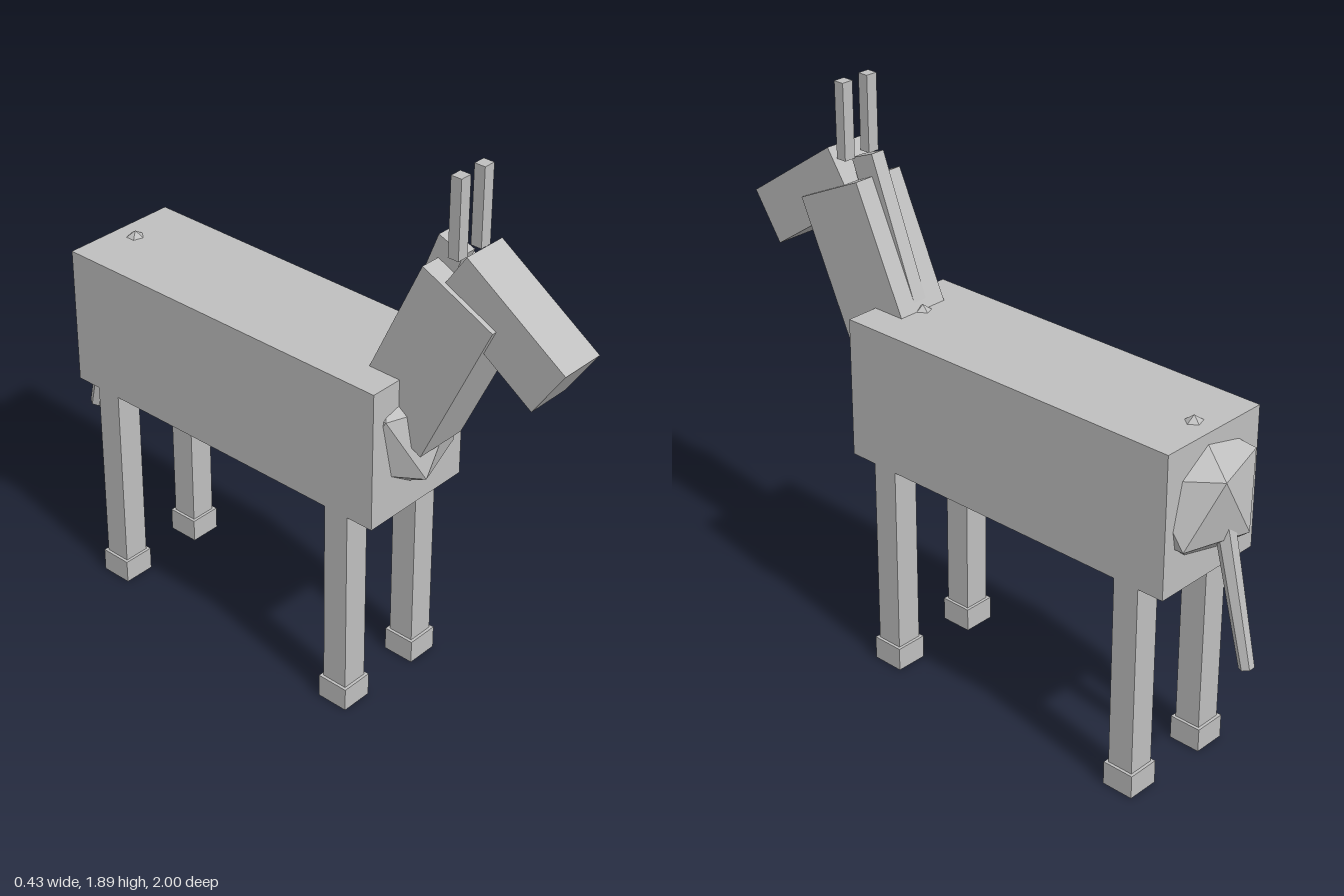
import * as THREE from 'three';
import { ConvexGeometry } from 'three/addons/geometries/ConvexGeometry.js';

export function createModel() {
  const model = new THREE.Group();
  const grey = new THREE.MeshStandardMaterial({ color: 0xbfbfbf });
  grey.name = 'plain grey';

  function add(name, geometry, x, y, z, tilt = 0) {
    const mesh = new THREE.Mesh(geometry, grey);
    mesh.name = name;
    mesh.position.set(x, y, z);
    mesh.rotation.x = tilt;
    model.add(mesh);
    return mesh;
  }
  const box = (name, w, h, d, x, y, z, tilt) =>
    add(name, new THREE.BoxGeometry(w, h, d), x, y, z, tilt);

  // Twenty-sided ball standing on one of its corners
  function facetedBall(rx, ry, rz) {
    const points = [new THREE.Vector3(0, ry, 0), new THREE.Vector3(0, -ry, 0)];
    for (let i = 0; i < 5; i++) {
      const a = (i * Math.PI * 2) / 5;
      const x = 0.894 * rx * Math.cos(a);
      const z = 0.894 * rz * Math.sin(a);
      points.push(new THREE.Vector3(x, 0.447 * ry, z));
      points.push(new THREE.Vector3(-x, -0.447 * ry, -z));
    }
    return new ConvexGeometry(points);
  }

  // Trunk with rounded chest and rump
  box('body', 0.41, 0.47, 1.26, 0, 0.965, -0.19);
  add('chest', facetedBall(0.22, 0.235, 0.235), 0, 0.983, 0.325);
  add('rump', facetedBall(0.22, 0.235, 0.2), 0, 0.985, -0.745);

  // Neck, mane and head
  box('neck', 0.186, 0.56, 0.277, 0, 1.285, 0.518, 0.436);
  box('mane', 0.05, 0.5, 0.095, 0, 1.42, 0.464, 0.37);
  box('head', 0.154, 0.187, 0.42, 0, 1.475, 0.7725, 0.592);

  // Ears, legs and hooves, mirrored left and right
  for (const side of [1, -1]) {
    const label = side > 0 ? 'left' : 'right';
    box(label + 'Ear', 0.04, 0.25, 0.037, side * 0.05, 1.765, 0.598);
    for (const [end, z] of [['Front', 0.3], ['Rear', -0.685]]) {
      box(label + end + 'Leg', 0.09, 0.65, 0.09, side * 0.16, 0.405, z);
      box(label + end + 'Hoof', 0.11, 0.08, 0.11, side * 0.16, 0.04, z);
    }
  }

  // Tapering six-sided tail
  const tail = new THREE.CylinderGeometry(0.034, 0.024, 0.54, 6, 1, false, Math.PI / 6).toNonIndexed();
  tail.computeVertexNormals();
  add('tail', tail, 0, 0.738, -0.9135, 0.238);

  return model;
}
